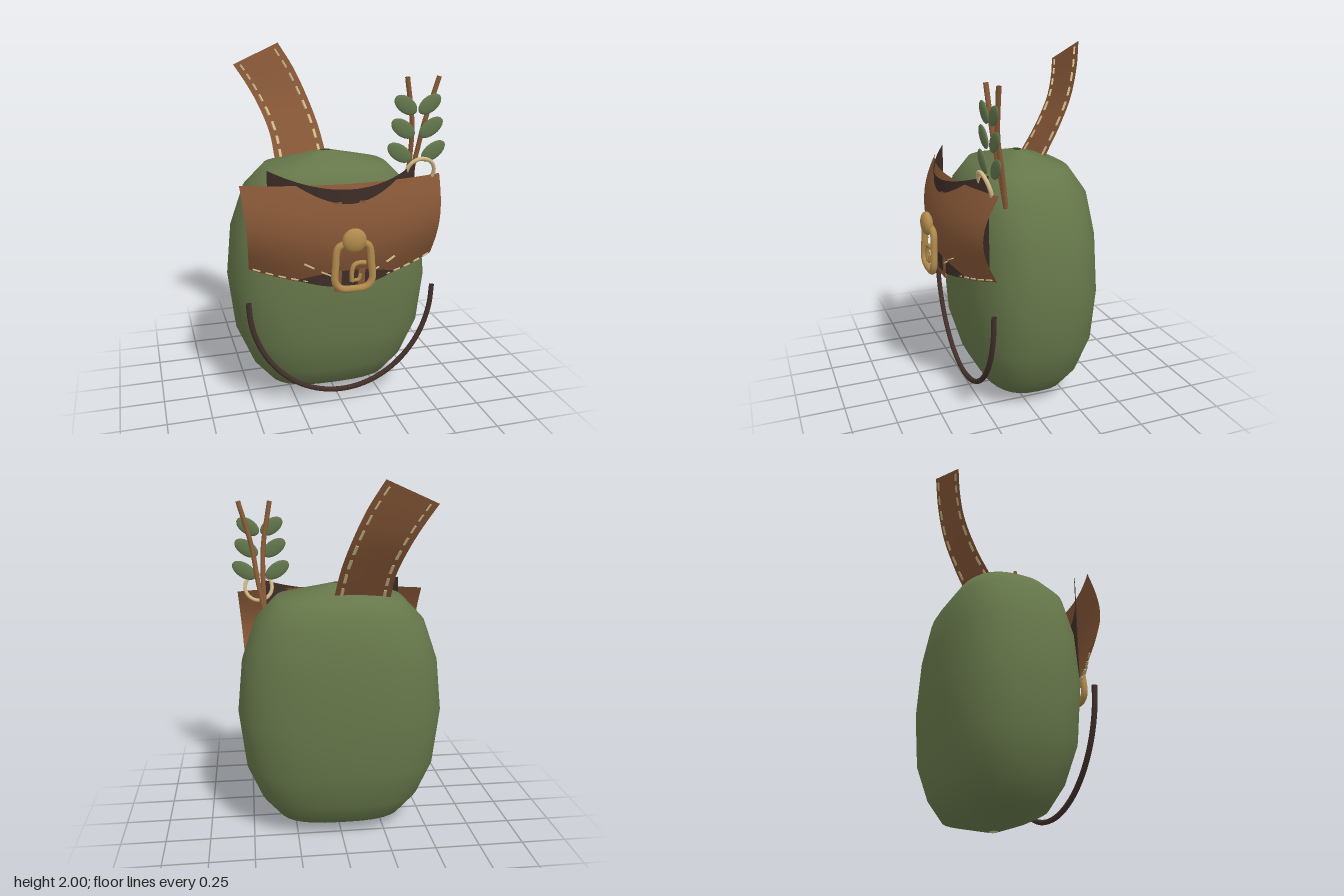
import * as THREE from 'three';

const mat = (color, side = THREE.DoubleSide) => new THREE.MeshStandardMaterial({ color, side });
const canvas = mat(0x66774a), leather = mat(0x855636), lining = mat(0x3d2d27);
const cord = mat(0x42302a), thread = mat(0xcdb887), brass = mat(0xb08a4c);
const pale = mat(0xd3b988), leaf = mat(0x62764c), bark = mat(0x8a5c38);
const V = (x, y, z) => new THREE.Vector3(x, y, z);
const spline = (pts, closed = false) => new THREE.CatmullRomCurve3(pts.map(p => V(...p)), closed);

// Grid surface: at(u, v) gives a point, u and v run from 0 to 1
function surface(at, nu, nv) {
  const pos = [], idx = [];
  for (let j = 0; j <= nv; j++) for (let i = 0; i <= nu; i++) {
    const p = at(i / nu, j / nv);
    pos.push(p.x, p.y, p.z);
  }
  for (let j = 0; j < nv; j++) for (let i = 0; i < nu; i++) {
    const a = j * (nu + 1) + i, b = a + 1, c = a + nu + 1, d = c + 1;
    idx.push(a, c, b, b, c, d);
  }
  const g = new THREE.BufferGeometry();
  g.setAttribute('position', new THREE.Float32BufferAttribute(pos, 3));
  g.setIndex(idx);
  g.computeVertexNormals();
  return g;
}

// Closed soft body from rounded-box rings, open by a small hole at both ends
function bodyGeometry() {
  const rings = [ // y, half width, half depth
    [1.43, 0.032, 0.022], [1.355, 0.35, 0.25], [1.23, 0.47, 0.33], [1.0, 0.55, 0.368],
    [0.7, 0.58, 0.383], [0.4, 0.545, 0.365], [0.2, 0.46, 0.305], [0.08, 0.36, 0.235], [0, 0.032, 0.022],
  ];
  const n = 32, pos = [], idx = [];
  const power = c => Math.sign(c) * Math.abs(c) ** 0.74;
  for (const [y, rx, rz] of rings) for (let i = 0; i < n; i++) {
    const a = i / n * Math.PI * 2;
    pos.push(-0.01 + rx * power(Math.cos(a)), y, -0.058 + rz * power(Math.sin(a)));
  }
  for (let j = 0; j < rings.length - 1; j++) for (let i = 0; i < n; i++) {
    const a = j * n + i, b = j * n + (i + 1) % n;
    idx.push(a, b, a + n, b, b + n, a + n);
  }
  const g = new THREE.BufferGeometry();
  g.setAttribute('position', new THREE.Float32BufferAttribute(pos, 3));
  g.setIndex(idx.reverse());
  g.computeVertexNormals();
  return g;
}

// Flap: bowed across and bulging down its height
function flapPoint(u, v) {
  const s = u * 2 - 1, x = s * (0.555 - 0.035 * v);
  const y = THREE.MathUtils.lerp(1.33, 0.77 + 0.1 * Math.abs(s) ** 1.6, v);
  return V(x, y, 0.37 - 0.11 * s * s + 0.077 * Math.sin(Math.PI * v));
}

// Lining: bowed across only, so it shows past the flap at top and bottom
function liningPoint(u, v) {
  const s = u * 2 - 1;
  const y = THREE.MathUtils.lerp(1.31 + 0.09 * s * s, 0.775 + 0.085 * s * s, v);
  return V(s * 0.41, y, 0.41 - 0.15 * s * s);
}

export function createModel() {
  const root = new THREE.Group();
  const add = (name, geometry, material, parent = root) => {
    const m = new THREE.Mesh(geometry, material);
    m.name = name;
    parent.add(m);
    return m;
  };
  const group = name => {
    const g = new THREE.Group();
    g.name = name;
    root.add(g);
    return g;
  };
  const tube = (name, curve, r, material, parent, closed = false, seg = 40) =>
    add(name, new THREE.TubeGeometry(curve, seg, r, 8, closed), material, parent);

  // A thin thread dash between two points
  const stitch = (a, b, parent, r = 0.006) => {
    const m = add('stitch', new THREE.BoxGeometry(r * 2, r, a.distanceTo(b)), thread, parent);
    m.position.copy(a).lerp(b, 0.5);
    m.lookAt(b);
  };

  add('body', bodyGeometry(), canvas);
  add('flap', surface(flapPoint, 32, 20), leather);
  add('flapLining', surface(liningPoint, 32, 4), lining);
  add('flapTab', new THREE.BoxGeometry(0.17, 0.495, 0.012), leather).position.set(0, 0.998, 0.402);

  // Stitches along the lower edge of the flap
  const flapStitches = group('flapStitches');
  for (let i = 0; i < 16; i++) {
    const u = 0.02 + i * 0.0615;
    const a = flapPoint(u, 0.975), b = flapPoint(u + 0.036, 0.975);
    a.z += 0.004; b.z += 0.004;
    stitch(a, b, flapStitches);
  }
  for (const s of [-1, 1]) {
    stitch(V(s * 0.25, 0.925, 0.41), V(s * 0.2, 0.9, 0.422), flapStitches);
    stitch(V(s * 0.16, 0.875, 0.418), V(s * 0.11, 0.85, 0.415), flapStitches);
  }

  // Loose shoulder strap, a ribbon between two edge curves
  const left = spline([[-0.275, 1.36, -0.195], [-0.285, 1.5, -0.285], [-0.335, 1.66, -0.385], [-0.395, 1.78, -0.438], [-0.457, 1.88, -0.472]]);
  const right = spline([[0.035, 1.375, -0.21], [0.01, 1.54, -0.31], [-0.035, 1.7, -0.4], [-0.1, 1.86, -0.465], [-0.18, 2.0, -0.512]]);
  const strapPoint = (u, v) => left.getPoint(v).lerp(right.getPoint(v), u);
  const strap = group('shoulderStrap');
  add('strapBand', surface(strapPoint, 4, 20), leather, strap);
  for (const u of [0.12, 0.88]) for (let i = 0; i < 8; i++) {
    const v = 0.01 + i * 0.125;
    stitch(strapPoint(u, v), strapPoint(u, v + 0.075), strap, 0.008);
  }

  // Cord handle hanging across the front
  const arc = [];
  for (let i = 0; i <= 16; i++) {
    const a = Math.PI * (1 + i / 16);
    arc.push([0.53 * Math.cos(a), 0.68 + 0.59 * Math.sin(a), 0.28]);
  }
  tube('cordHandle', spline(arc), 0.015, cord, root, false, 64);

  // Buckle: frame, knob and hooked prong
  const buckle = group('buckle');
  tube('buckleFrame', spline([[-0.08, 1.02, 0.465], [0, 1.035, 0.465], [0.08, 1.02, 0.465], [0.098, 0.92, 0.47],
    [0.1, 0.83, 0.475], [0.07, 0.795, 0.475], [0, 0.788, 0.475], [-0.07, 0.795, 0.475],
    [-0.1, 0.83, 0.475], [-0.098, 0.92, 0.47]], true), 0.02, brass, buckle, true, 80);
  const knob = add('buckleKnob', new THREE.SphereGeometry(0.066, 24, 16), brass, buckle);
  knob.scale.z = 0.5;
  knob.position.set(0, 1.055, 0.48);
  tube('buckleProng', spline([[-0.01, 0.83, 0.475], [-0.012, 0.88, 0.478], [0, 0.92, 0.478], [0.03, 0.93, 0.475], [0.065, 0.925, 0.47]]), 0.013, brass, buckle);
  tube('buckleHook', spline([[-0.01, 0.835, 0.475], [0.025, 0.84, 0.478], [0.035, 0.87, 0.478]]), 0.01, brass, buckle, false, 16);

  // Ring beside the sprig
  const ring = add('sprigRing', new THREE.TorusGeometry(0.08, 0.011, 10, 32), pale);
  ring.position.set(0.43, 1.35, 0.287);
  ring.rotation.x = 0.3;

  // Leafy sprig: two stems and three pairs of leaves
  const sprig = group('sprig');
  for (const [top, mid] of [[0.355, 0.397], [0.535, 0.465]])
    tube('stem', spline([[0.4, 1.22, 0.165], [mid * 0.5 + 0.205, 1.42, 0.2], [mid, 1.6, 0.232], [top, 1.855, 0.252]]), 0.014, bark, sprig);
  [[1.71, 0.068, 0.073], [1.585, 0.08, 0.077], [1.455, 0.097, 0.079]].forEach(([y, dx, len]) => {
    for (const s of [-1, 1]) {
      const m = add('leaf', new THREE.SphereGeometry(1, 16, 12), leaf, sprig);
      m.scale.set(len, 0.044, 0.012);
      m.position.set(0.415 + s * dx, y, 0.26);
      m.rotation.z = s * 0.6;
    }
  });

  return root;
}
